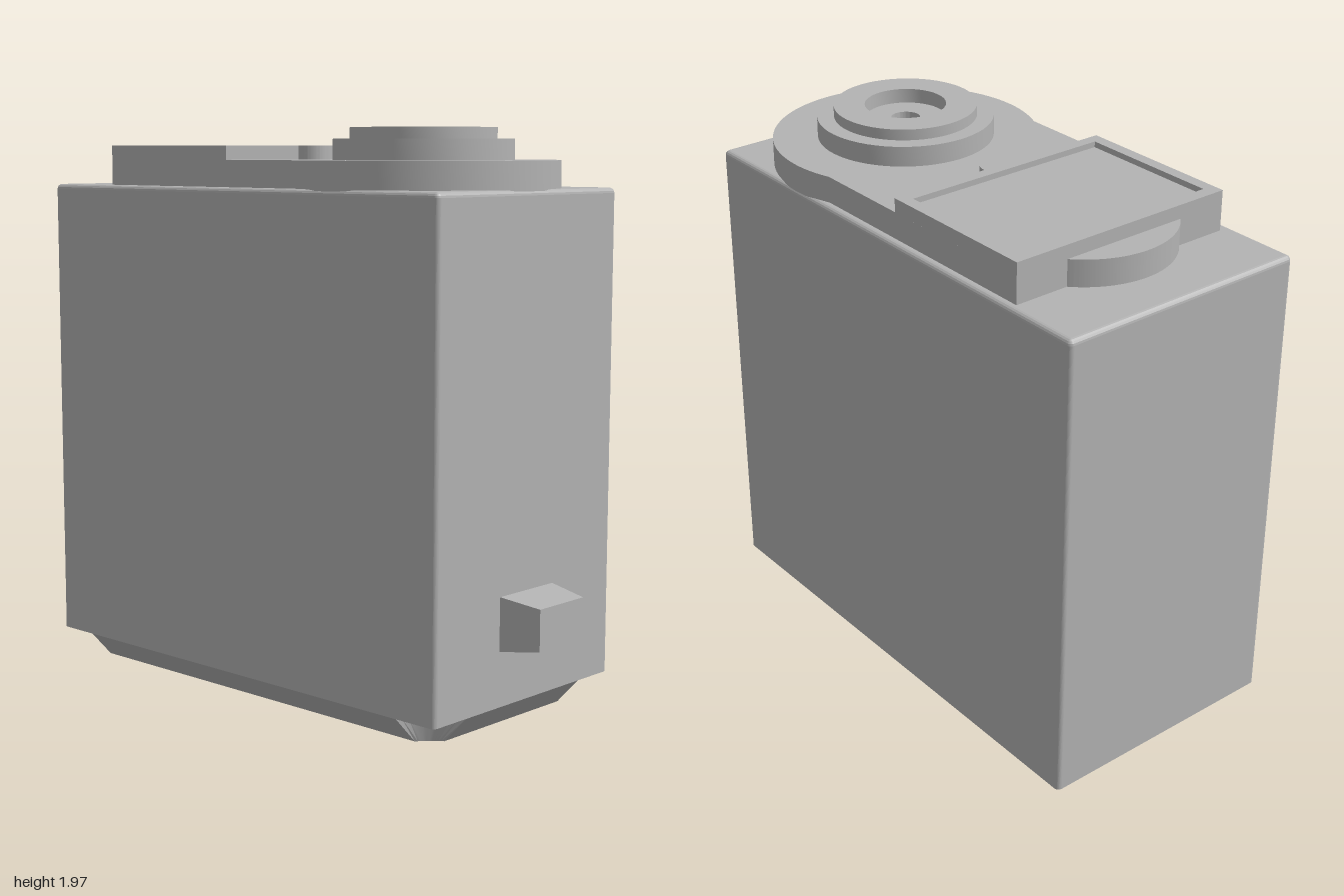
import * as THREE from 'three';
import { toCreasedNormals } from 'three/addons/utils/BufferGeometryUtils.js';

const W = 0.9275, D = 0.462, CX = -0.0725; // body half width, half depth, centre x
const SIGNS = [[1, 1], [-1, 1], [-1, -1], [1, -1]];
const STEPS = 10;

// Rounded rectangle outline, moved in by inset
function roundedOutline(inset, r) {
  const pts = [];
  SIGNS.forEach(([sx, sz], q) => {
    for (let i = 0; i <= STEPS; i++) {
      const a = (q + i / STEPS) * Math.PI / 2;
      pts.push([sx * (W - inset - r) + r * Math.cos(a), sz * (D - inset - r) + r * Math.sin(a)]);
    }
  });
  return pts;
}

// Rectangle outline with round bites of radius r around the body corners
function notchedOutline(inset, r) {
  const pts = [], k = Math.asin(inset / r);
  SIGNS.forEach(([sx, sz], q) => {
    for (let i = 0; i <= STEPS; i++) {
      const a = q * Math.PI / 2 + 1.5 * Math.PI - k - (Math.PI / 2 - 2 * k) * i / STEPS;
      pts.push([sx * W + r * Math.cos(a), sz * D + r * Math.sin(a)]);
    }
  });
  return pts;
}

// Solid through [y, outline] rings, closed at both ends
function loft(rings, crease) {
  const pos = [], n = rings[0][1].length, last = rings.length - 1;
  const p = (k, i) => [rings[k][1][i % n][0], rings[k][0], rings[k][1][i % n][1]];
  for (let i = 0; i < n; i++) {
    for (let k = 0; k < last; k++) {
      pos.push(...p(k, i), ...p(k + 1, i), ...p(k, i + 1));
      pos.push(...p(k, i + 1), ...p(k + 1, i), ...p(k + 1, i + 1));
    }
    pos.push(0, rings[0][0], 0, ...p(0, i), ...p(0, i + 1));
    pos.push(0, rings[last][0], 0, ...p(last, i + 1), ...p(last, i));
  }
  const g = new THREE.BufferGeometry();
  g.setAttribute('position', new THREE.Float32BufferAttribute(pos, 3));
  g.computeVertexNormals();
  return crease ? toCreasedNormals(g, crease) : g;
}

// Upright extrusion of a plan shape (shape y points to -z)
function slab(shape, y0, y1) {
  const g = new THREE.ExtrudeGeometry(shape, { depth: y1 - y0, bevelEnabled: false, curveSegments: 48 });
  g.rotateX(-Math.PI / 2).translate(0, y0, 0);
  return toCreasedNormals(g, 0.4);
}

export function createModel() {
  const model = new THREE.Group();
  const grey = new THREE.MeshStandardMaterial({ color: 0xb3b3b3 });
  grey.name = 'plain grey';
  const add = (name, geometry, x = 0, y = 0, z = 0) => {
    const mesh = new THREE.Mesh(geometry, grey);
    mesh.name = name;
    mesh.position.set(x, y, z);
    model.add(mesh);
    return mesh;
  };

  // Body with softly rounded upright and top edges
  const R = 0.018, rings = [[0.095, roundedOutline(0, R)]];
  for (let i = 0; i <= 4; i++) {
    const a = i / 4 * Math.PI / 2, inset = R * (1 - Math.cos(a));
    rings.push([1.77 - R + R * Math.sin(a), roundedOutline(inset, Math.max(R - inset, 0.0005))]);
  }
  add('body', loft(rings, 0), CX);

  // Chamfered base with round corner cut-outs
  add('base', loft([[0, notchedOutline(0.092, 0.184)], [0.096, notchedOutline(0.001, 0.163)]], 0.3), CX);

  // Top plate: large disc, straight bar and small round end
  const KX = 0.395, back = 0.433, front = -0.417, left = -0.725;
  const plate = new THREE.Shape();
  plate.absarc(KX, 0, 0.46, Math.atan2(front, -0.194), Math.atan2(back, -0.155), false);
  plate.lineTo(left, back);
  const a = Math.atan2(0.235, -0.21);
  plate.absarc(-0.515, 0, 0.315, a, 2 * Math.PI - a, false);
  plate.lineTo(left, front);
  plate.closePath();
  add('topPlate', slab(plate, 1.765, 1.862));

  // Lid with finger tab and a shallow recessed panel
  const lidShape = () => {
    const s = new THREE.Shape();
    s.moveTo(left, front);
    s.lineTo(-0.125, front);
    s.lineTo(-0.125, -0.07);
    s.absarc(-0.124, 0, 0.07, -Math.PI / 2, Math.PI / 2, false);
    s.lineTo(-0.125, back);
    s.lineTo(left, back);
    s.closePath();
    return s;
  };
  add('lid', slab(lidShape(), 1.86, 1.89));
  const rim = lidShape();
  rim.holes.push(new THREE.Path([[-0.68, -0.375], [-0.68, 0.39], [-0.165, 0.39], [-0.165, -0.375]]
    .map(([x, y]) => new THREE.Vector2(x, y))));
  add('lidRim', slab(rim, 1.89, 1.91));

  // Stepped round knob with a sunken centre and a small hole
  const profile = [[0.305, 1.86], [0.305, 1.932], [0.247, 1.932], [0.247, 1.97],
    [0.14, 1.97], [0.14, 1.92], [0.05, 1.92], [0.05, 1.88], [0, 1.88]];
  const knob = new THREE.LatheGeometry(profile.map(([r, y]) => new THREE.Vector2(r, y)), 64);
  add('knob', toCreasedNormals(knob, 0.4), KX);

  // Tapered side stub
  const stub = new THREE.BoxGeometry(0.155, 0.185, 0.28);
  const v = stub.attributes.position;
  for (let i = 0; i < v.count; i++) {
    if (v.getX(i) > 0) v.setXYZ(i, v.getX(i), v.getY(i) * 0.76, v.getZ(i) * 0.82);
  }
  const flatStub = stub.toNonIndexed();
  flatStub.computeVertexNormals();
  add('sideStub', flatStub, 0.9225, 0.373, 0);

  return model;
}
